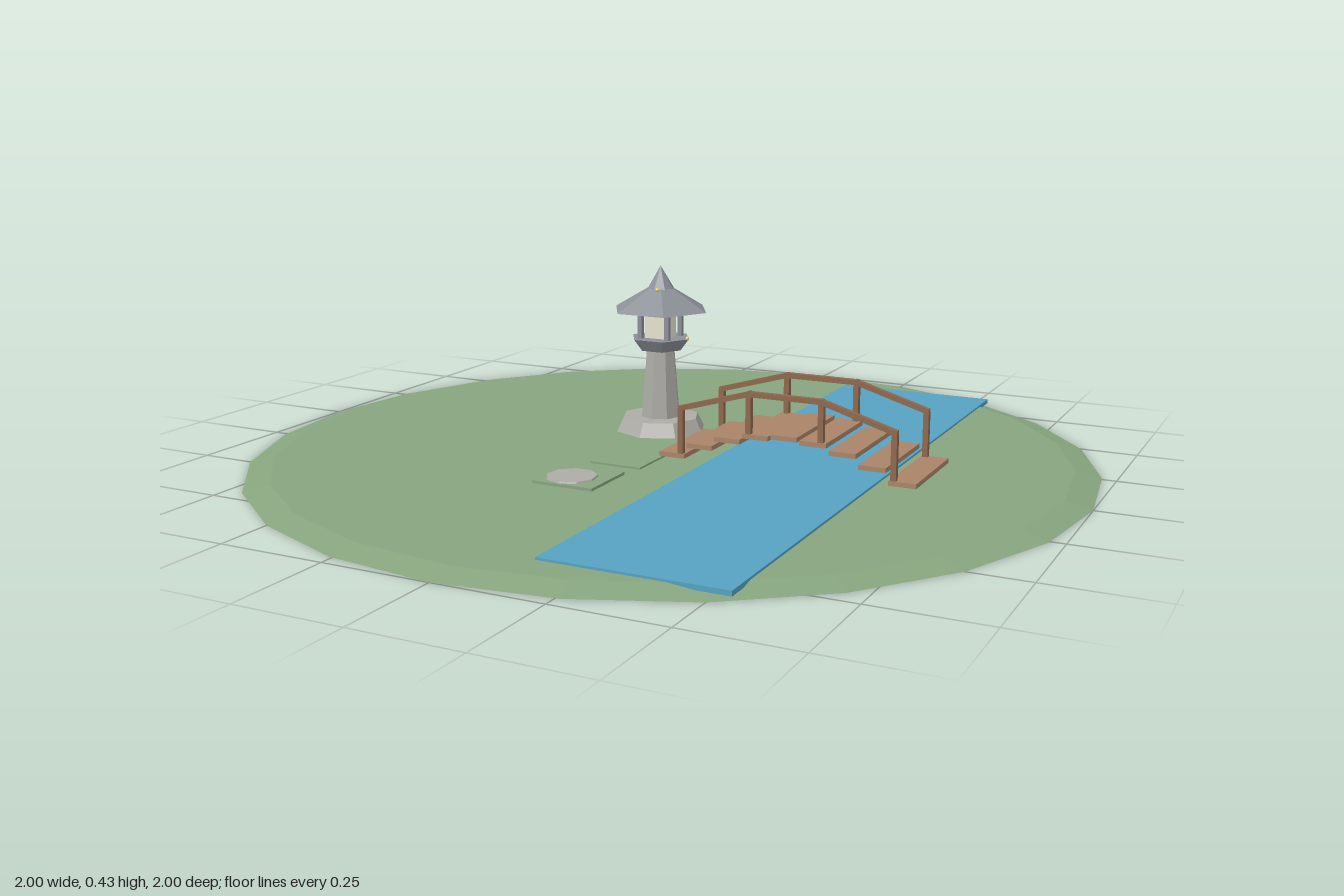
import * as THREE from 'three';

const mat = (name, color) => {
  const m = new THREE.MeshStandardMaterial({ color });
  m.name = name;
  return m;
};

export function createModel() {
  const grass = mat('grass green', 0x86a47e);
  const water = mat('water blue', 0x55a2c2);
  const plankWood = mat('plank wood', 0xa98468);
  const railWood = mat('rail wood', 0x8f684c);
  const stone = mat('pale stone', 0xacaba5);
  const slate = mat('slate grey', 0x8c9098);
  const paper = mat('lantern paper', 0xe6e2cf);
  const glow = mat('firefly yellow', 0xf2dc7a);

  const model = new THREE.Group();

  const add = (parent, name, geo, material, x, y, z) => {
    const mesh = new THREE.Mesh(geo, material);
    mesh.name = name;
    mesh.position.set(x, y, z);
    parent.add(mesh);
    return mesh;
  };
  const box = (w, h, d) => new THREE.BoxGeometry(w, h, d);
  // Faceted frustum standing on y = 0
  const frustum = (rTop, rBottom, h, sides, turn = 0) => {
    const g = new THREE.CylinderGeometry(rTop, rBottom, h, sides).rotateY(turn).translate(0, h / 2, 0).toNonIndexed();
    g.computeVertexNormals();
    return g;
  };
  const group = (name) => {
    const g = new THREE.Group();
    g.name = name;
    model.add(g);
    return g;
  };

  // Ground and stream
  add(model, 'ground', frustum(0.94, 1, 0.015, 24), grass, 0, 0, 0);
  add(model, 'stream', box(0.41, 0.011, 1.68), water, 0.335, 0.0145, 0);

  // Stepping stones on square turf pads
  const path = group('steppingStones');
  add(path, 'smallPad', box(0.13, 0.012, 0.13), grass, -0.05, 0.0135, 0.13);
  add(path, 'largePad', box(0.152, 0.014, 0.152), grass, -0.073, 0.0145, 0.322);
  add(path, 'flatStone', frustum(0.058, 0.063, 0.012, 9), stone, -0.083, 0.0135, 0.335);

  // Arched footbridge
  const bridge = group('bridge');
  const cx = 0.337;
  for (let i = -4; i <= 4; i++) {
    const y = 0.037 + 0.071 * Math.cos((i / 4) * Math.PI / 2);
    add(bridge, 'plank', box(0.063, 0.011, 0.238), plankWood, cx + i * 0.0695, y, 0);
  }
  const posts = [[-0.257, 0.04, 0.15], [-0.087, 0.1, 0.2], [0.087, 0.1, 0.2], [0.257, 0.04, 0.15]];
  for (const z of [-0.112, 0.112]) {
    posts.forEach(([x, low, high], i) => {
      add(bridge, 'post', box(0.013, high - low, 0.013), railWood, cx + x, (low + high) / 2, z);
      if (!i) return;
      // Handrail from the previous post top to this one
      const [px, , ph] = posts[i - 1];
      const len = Math.hypot(x - px, high - ph);
      const rail = add(bridge, 'handrail', box(len + 0.01, 0.012, 0.013), railWood, cx + (x + px) / 2, (high + ph) / 2, z);
      rail.rotation.z = Math.atan2(high - ph, x - px);
    });
  }

  // Stone lantern
  const lantern = group('lantern');
  lantern.position.set(-0.12, 0, -0.176);
  const hex = Math.PI / 6;
  add(lantern, 'base', frustum(0.098, 0.117, 0.037, 8), stone, 0, 0.012, 0);
  add(lantern, 'shaft', frustum(0.036, 0.05, 0.173, 8), stone, 0, 0.049, 0);
  add(lantern, 'collar', frustum(0.078, 0.055, 0.03, 6, hex), slate, 0, 0.22, 0);
  add(lantern, 'lightBox', box(0.058, 0.068, 0.058), paper, 0, 0.284, 0);
  for (const x of [-0.037, 0.037])
    for (const z of [-0.037, 0.037])
      add(lantern, 'cornerPost', box(0.012, 0.075, 0.012), slate, x, 0.2865, z);
  add(lantern, 'roof', frustum(0.032, 0.126, 0.055, 6, hex), slate, 0, 0.32, 0);
  add(lantern, 'finial', frustum(0, 0.034, 0.056, 8), slate, 0, 0.374, 0);

  // Fireflies drifting round the lantern
  for (const [x, y, z] of [[-0.08, 0.385, -0.08], [-0.016, 0.265, -0.115], [-0.23, 0.33, -0.232]])
    add(model, 'firefly', new THREE.SphereGeometry(0.005, 8, 6), glow, x, y, z);

  return model;
}
